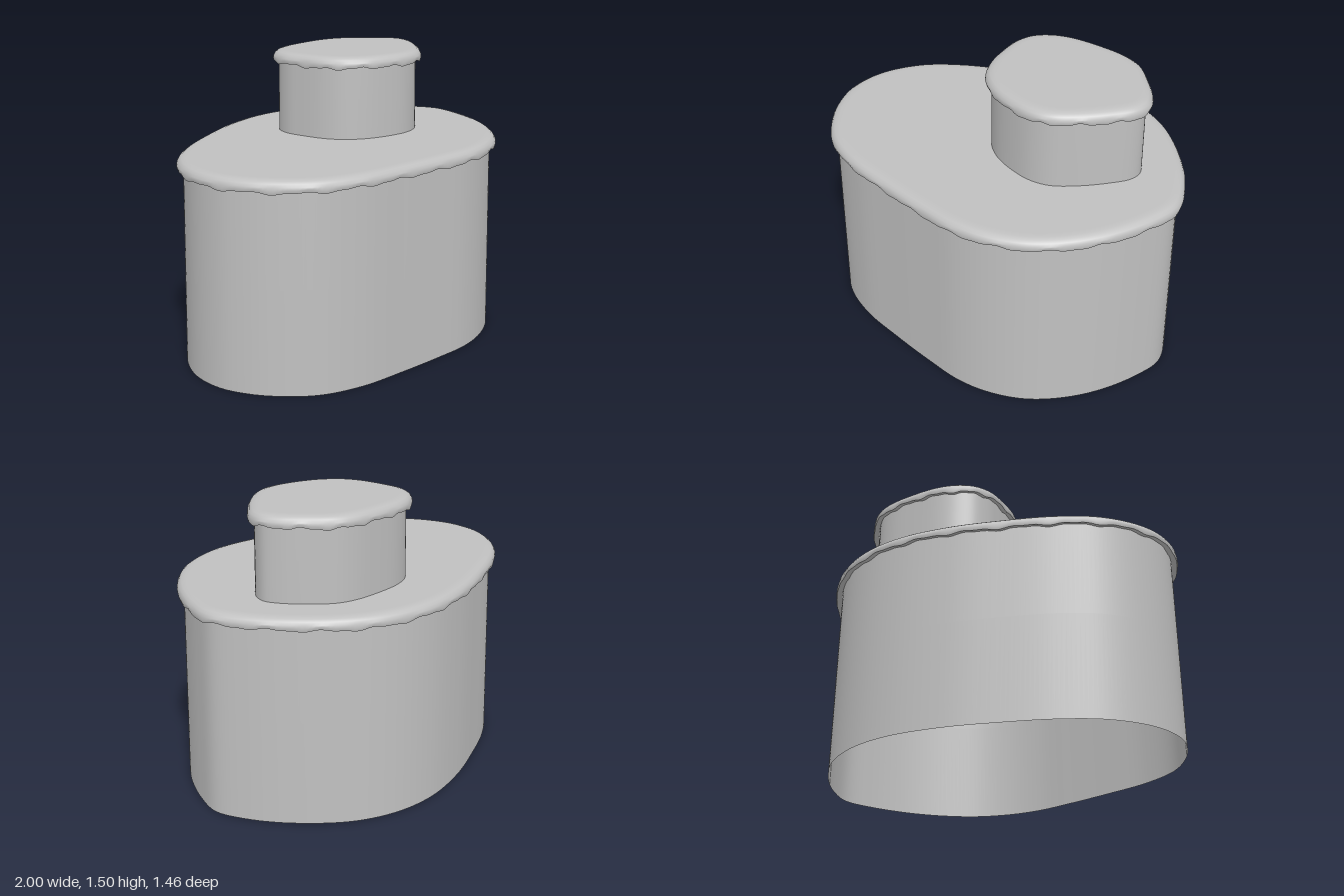
import * as THREE from 'three';

const grey = new THREE.MeshStandardMaterial({ color: 0xc0c0c0, side: THREE.DoubleSide });
grey.name = 'light grey';

// Outlines as [x, z], seen from above, running left -> back -> right -> front
const lowerOutline = [
  [-1, 0.02], [-0.98, -0.12], [-0.92, -0.25], [-0.8, -0.39], [-0.62, -0.505], [-0.38, -0.605],
  [-0.12, -0.69], [0.16, -0.73], [0.4, -0.695], [0.62, -0.585], [0.83, -0.37], [0.95, -0.17],
  [1, 0], [0.955, 0.16], [0.84, 0.37], [0.7, 0.53], [0.54, 0.645], [0.35, 0.71], [0.17, 0.725],
  [-0.02, 0.7], [-0.29, 0.65], [-0.56, 0.585], [-0.77, 0.475], [-0.92, 0.29], [-0.985, 0.13],
];
const upperOutline = [
  [-0.125, -0.16], [-0.12, -0.27], [-0.08, -0.36], [0, -0.425], [0.11, -0.462], [0.27, -0.47],
  [0.43, -0.455], [0.54, -0.41], [0.63, -0.32], [0.715, -0.21], [0.75, -0.115], [0.73, -0.035],
  [0.66, 0.05], [0.54, 0.16], [0.415, 0.24], [0.3, 0.26], [0.165, 0.235], [0.03, 0.175],
  [-0.065, 0.085], [-0.11, -0.02],
];

// Evenly spaced outline points with their outward normals
function sampleOutline(points, count) {
  const curve = new THREE.CatmullRomCurve3(points.map(([x, z]) => new THREE.Vector3(x, 0, z)), true);
  return Array.from({ length: count }, (_, i) => {
    const p = curve.getPointAt(i / count);
    const t = curve.getTangentAt(i / count);
    return { x: p.x, z: p.z, nx: t.z, nz: -t.x, a: (i / count) * Math.PI * 2 };
  });
}

// Joins rows of the outline; each row has an inset, a height y(a) and a scale about the middle
function loft(name, ring, rows) {
  const n = ring.length;
  const cx = ring.reduce((s, p) => s + p.x, 0) / n;
  const cz = ring.reduce((s, p) => s + p.z, 0) / n;
  const positions = [];
  const index = [];
  rows.forEach(({ inset, y, scale = 1 }, r) => {
    ring.forEach((p, i) => {
      const x = p.x - p.nx * inset;
      const z = p.z - p.nz * inset;
      positions.push(cx + (x - cx) * scale, typeof y === 'function' ? y(p.a) : y, cz + (z - cz) * scale);
      if (r === 0) return;
      const j = (i + 1) % n;
      const a = (r - 1) * n + i, b = (r - 1) * n + j;
      index.push(a, a + n, b, b, a + n, r * n + j);
    });
  });
  const geometry = new THREE.BufferGeometry();
  geometry.setAttribute('position', new THREE.Float32BufferAttribute(positions, 3));
  geometry.setIndex(index);
  geometry.computeVertexNormals();
  const mesh = new THREE.Mesh(geometry, grey);
  mesh.name = name;
  return mesh;
}

// A wall standing under a rounded lid whose lower edge is wavy
function tier(name, outline, { base, top, foot, neck, waves, count }) {
  const group = new THREE.Group();
  group.name = name;
  const ring = sampleOutline(outline, count);
  const drip = (a) => top - 0.058
    + 0.005 * Math.sin(waves * a) + 0.003 * Math.sin((waves * 2 + 1) * a + 1) + 0.002 * Math.sin(5 * a);

  // Slightly tapering wall, open at the bottom
  group.add(loft(name + 'Wall', ring, [
    { inset: foot, y: base },
    { inset: (foot + neck) / 2, y: (base + top) / 2 },
    { inset: neck, y: top - 0.03 },
  ]));
  // Lid skirt, rounded rim and flat top
  group.add(loft(name + 'Lid', ring, [
    { inset: 0.004, y: drip },
    { inset: 0, y: (a) => drip(a) + 0.014 },
    { inset: 0.003, y: top - 0.03 },
    { inset: 0.011, y: top - 0.016 },
    { inset: 0.025, y: top - 0.006 },
    { inset: 0.045, y: top - 0.001 },
    { inset: 0.07, y: top },
    { inset: 0.07, y: top, scale: 0.5 },
    { inset: 0.07, y: top, scale: 0 },
  ]));
  // Underside of the lip
  group.add(loft(name + 'LipUnderside', ring, [
    { inset: neck, y: (a) => drip(a) + 0.008 },
    { inset: 0.004, y: drip },
  ]));
  return group;
}

export function createModel() {
  const model = new THREE.Group();
  model.name = 'tieredForm';
  model.add(tier('lowerTier', lowerOutline,
    { base: 0, top: 1.065, foot: 0.018, neck: 0.034, waves: 21, count: 240 }));
  model.add(tier('upperTier', upperOutline,
    { base: 1.06, top: 1.495, foot: 0.028, neck: 0.032, waves: 13, count: 160 }));
  return model;
}
